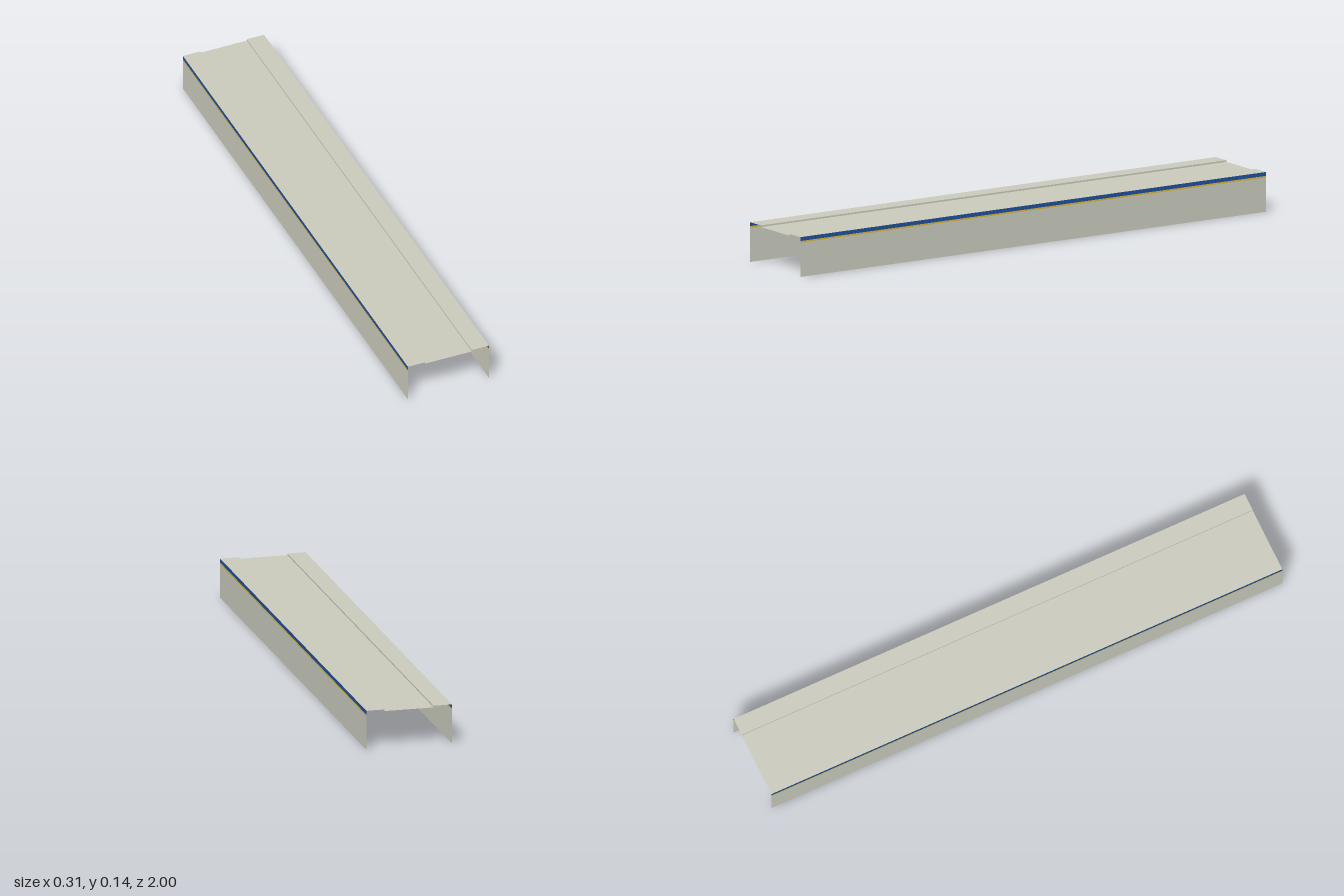
import * as THREE from 'three';

const LENGTH = 2, HALF = 0.157, TOP = 0.144;
const PANEL = 0.09, RECESS = 0.006;      // sunken middle of the roof
const BLUE_Y = 0.13, YELLOW_Y = 0.124;   // lower edges of the stripes

const material = (name, color) => {
  const m = new THREE.MeshStandardMaterial({ color, side: THREE.DoubleSide });
  m.name = name;
  return m;
};

// Thin sheet running the full length, spanning profile points a to b (x, y).
function sheet(name, [ax, ay], [bx, by], mat) {
  const geo = new THREE.BufferGeometry();
  const h = LENGTH / 2;
  geo.setAttribute('position', new THREE.Float32BufferAttribute(
    [ax, ay, h, bx, by, h, bx, by, -h, ax, ay, -h], 3));
  geo.setIndex([0, 1, 2, 0, 2, 3]);
  geo.computeVertexNormals();
  const mesh = new THREE.Mesh(geo, mat);
  mesh.name = name;
  return mesh;
}

export function createModel() {
  const metal = material('pale grey metal', 0xc8c9bb);
  const blue = material('blue stripe', 0x1f4e9a);
  const yellow = material('yellow stripe', 0xd8b53c);

  const model = new THREE.Group();
  model.name = 'channelCover';

  // Sunken roof panel
  model.add(sheet('roofPanel', [-PANEL, TOP - RECESS], [PANEL, TOP - RECESS], metal));

  for (const [side, s] of [['left', 1], ['right', -1]]) {
    // Point on this side; every profile runs outwards and down
    const span = (name, x1, y1, x2, y2, mat) => {
      const a = [s * x1, y1], b = [s * x2, y2];
      model.add(s > 0 ? sheet(side + name, a, b, mat) : sheet(side + name, b, a, mat));
    };
    // Step and raised roof edge
    span('RoofStep', PANEL, TOP - RECESS, PANEL, TOP, metal);
    span('RoofEdge', PANEL, TOP, HALF, TOP, metal);
    // Side wall with its two stripes
    span('BlueStripe', HALF, TOP, HALF, BLUE_Y, blue);
    span('YellowStripe', HALF, BLUE_Y, HALF, YELLOW_Y, yellow);
    span('Wall', HALF, YELLOW_Y, HALF, 0, metal);
  }
  return model;
}
